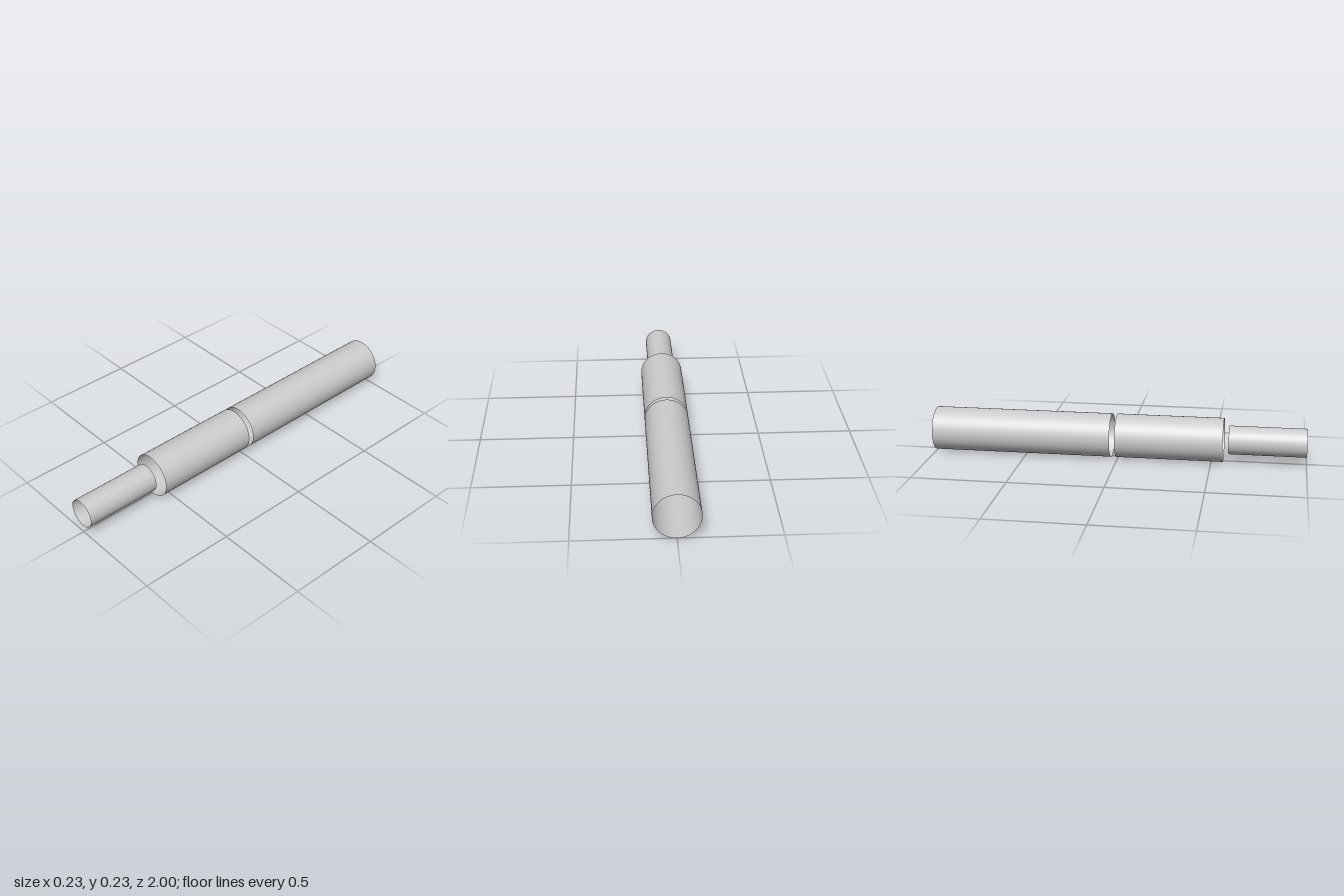
import * as THREE from 'three';

const R = 0.1165; // radius of the wide tubes, which rest on the ground

export function createModel() {
  const group = new THREE.Group();
  const material = new THREE.MeshStandardMaterial({ color: 0xcccccc, side: THREE.DoubleSide });

  // Thin, open-ended tube lying along z
  function addTube(name, radius, zBack, zFront, x = 0, y = R) {
    const geometry = new THREE.CylinderGeometry(radius, radius, zFront - zBack, 64, 1, true);
    geometry.rotateX(Math.PI / 2);
    const tube = new THREE.Mesh(geometry, material);
    tube.name = name;
    tube.position.set(x, y, (zBack + zFront) / 2);
    group.add(tube);
  }

  addTube('rearTube', R, -1, -0.035);
  addTube('middleTube', R, -0.008, 0.563);
  // Narrow tube sits very slightly off the common axis
  addTube('frontTube', 0.0758, 0.591, 1, -0.0015, 0.1185);

  return group;
}
